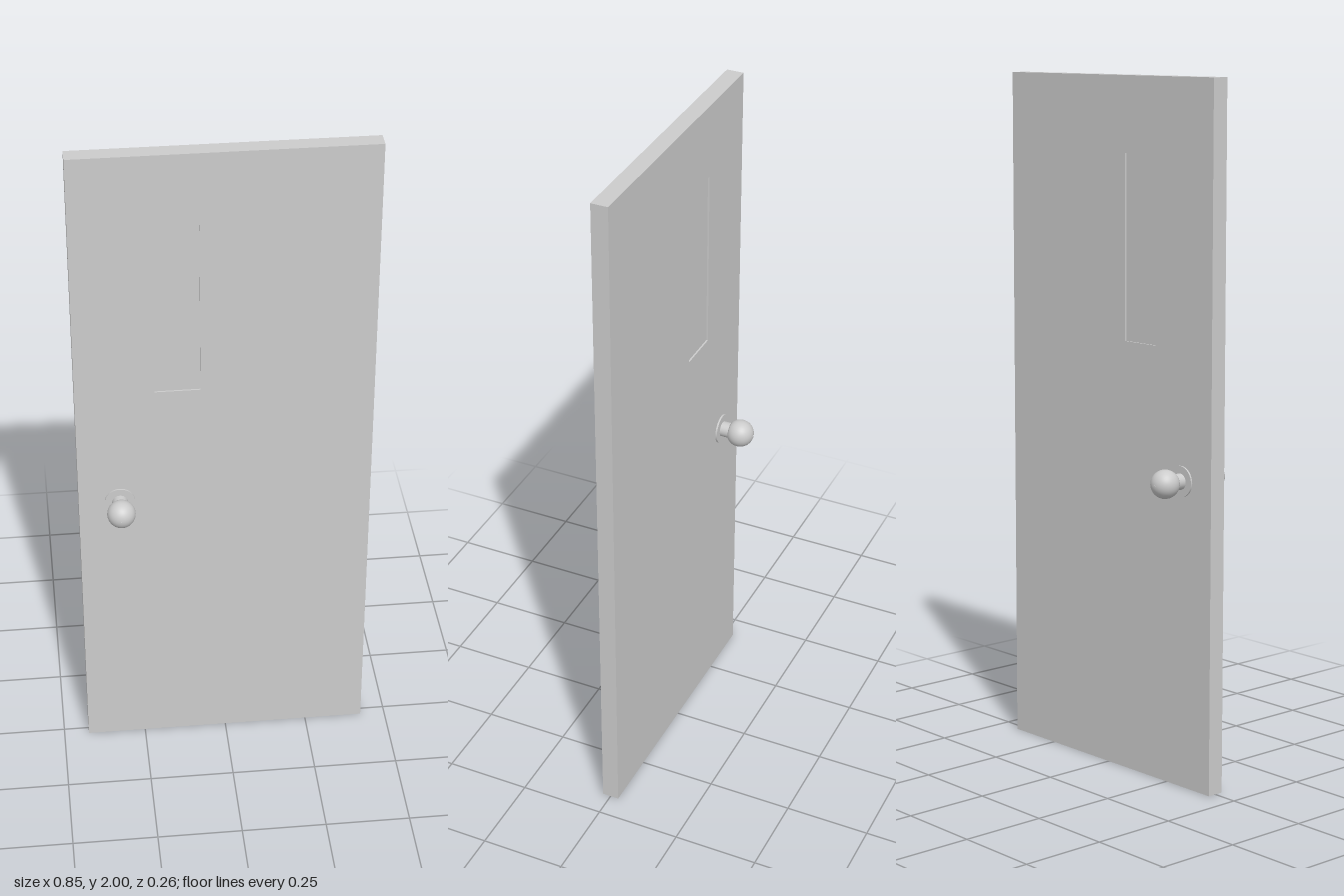
import * as THREE from 'three';

const grey = () => new THREE.MeshStandardMaterial({ color: 0xcccccc });

function addMesh(parent, name, geometry, x = 0, y = 0, z = 0) {
  const mesh = new THREE.Mesh(geometry, grey());
  mesh.name = name;
  mesh.position.set(x, y, z);
  parent.add(mesh);
  return mesh;
}

function rectangle(Type, x0, y0, x1, y1) {
  return new Type([[x0, y0], [x1, y0], [x1, y1], [x0, y1]].map(([x, y]) => new THREE.Vector2(x, y)));
}

// Handle set on one face, built along +z from the door's middle plane
function makeHandle(name) {
  const handle = new THREE.Group();
  handle.name = name;
  const face = 0.025;

  const rosette = new THREE.CylinderGeometry(0.044, 0.044, 0.005, 32).rotateX(Math.PI / 2);
  addMesh(handle, 'rosette', rosette, 0, 0, face + 0.0025);

  const neck = new THREE.CylinderGeometry(0.023, 0.023, 0.04, 24).rotateX(Math.PI / 2);
  addMesh(handle, 'neck', neck, 0, 0, face + 0.02);

  // Ball, cut flat where it meets the neck
  const profile = [new THREE.Vector2(0, -0.029)];
  const start = Math.acos(0.029 / 0.041);
  for (let i = 0; i <= 20; i++) {
    const a = Math.PI - start - (Math.PI - start) * i / 20;
    profile.push(new THREE.Vector2(0.041 * Math.sin(a), 0.041 * Math.cos(a)));
  }
  profile[profile.length - 1].x = 0;
  const knob = new THREE.LatheGeometry(profile, 32).rotateX(Math.PI / 2);
  addMesh(handle, 'knob', knob, 0, 0, 0.087);

  // Small slot at the tip of the knob
  addMesh(handle, 'keySlot', new THREE.BoxGeometry(0.009, 0.003, 0.003), 0, 0, 0.1275);
  return handle;
}

export function createModel() {
  const door = new THREE.Group();
  door.name = 'door';
  const thickness = 0.05;

  // Slab with the window opening
  const outline = rectangle(THREE.Shape, -0.425, 0, 0.425, 2);
  outline.holes.push(rectangle(THREE.Path, -0.2, 1.255, -0.07, 1.785));
  const slab = new THREE.ExtrudeGeometry(outline, { depth: thickness, bevelEnabled: false });
  addMesh(door, 'slab', slab, 0, 0, -thickness / 2);

  // Window pane, set just inside both faces
  addMesh(door, 'windowPane', new THREE.BoxGeometry(0.13, 0.53, 0.04), -0.135, 1.52, 0);

  // Matching handles front and back
  for (const [name, turn] of [['frontHandle', 0], ['backHandle', Math.PI]]) {
    const handle = makeHandle(name);
    handle.position.set(-0.306, 0.885, 0);
    handle.rotation.y = turn;
    door.add(handle);
  }
  return door;
}
